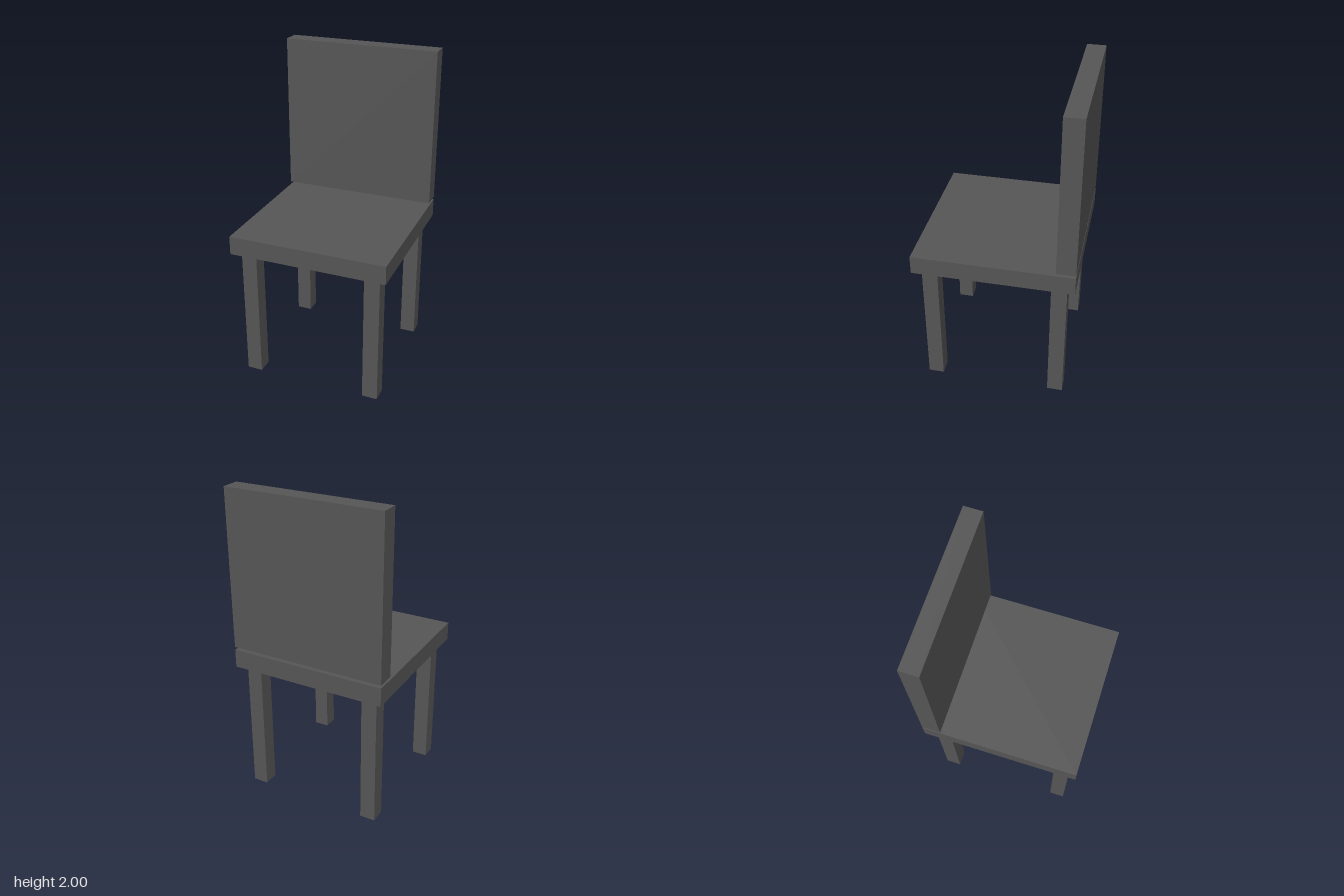
import * as THREE from 'three';

export function createModel() {
  const chair = new THREE.Group();
  chair.name = 'chair';

  const darkGrey = new THREE.MeshStandardMaterial({ color: 0x555555 });
  darkGrey.name = 'darkGrey';

  // Adds a box whose bottom face rests at height y
  function addBox(name, width, height, depth, x, y, z) {
    const mesh = new THREE.Mesh(new THREE.BoxGeometry(width, height, depth), darkGrey);
    mesh.name = name;
    mesh.position.set(x, y + height / 2, z);
    chair.add(mesh);
  }

  const slab = 0.118; // thickness of seat and backrest
  const seatBottom = 0.863;

  addBox('seat', 1, slab, 1, 0, seatBottom, 0);

  // The backrest floats just above the rear edge of the seat
  addBox('backrest', 1, 1, slab, 0, 1, -0.5 + slab / 2);

  // Four square legs, set in from the corners
  for (const [xName, x] of [['Left', 0.4], ['Right', -0.4]]) {
    for (const [zName, z] of [['front', 0.4], ['back', -0.4]]) {
      addBox(`${zName}${xName}Leg`, 0.098, seatBottom, 0.098, x, 0, z);
    }
  }

  return chair;
}
